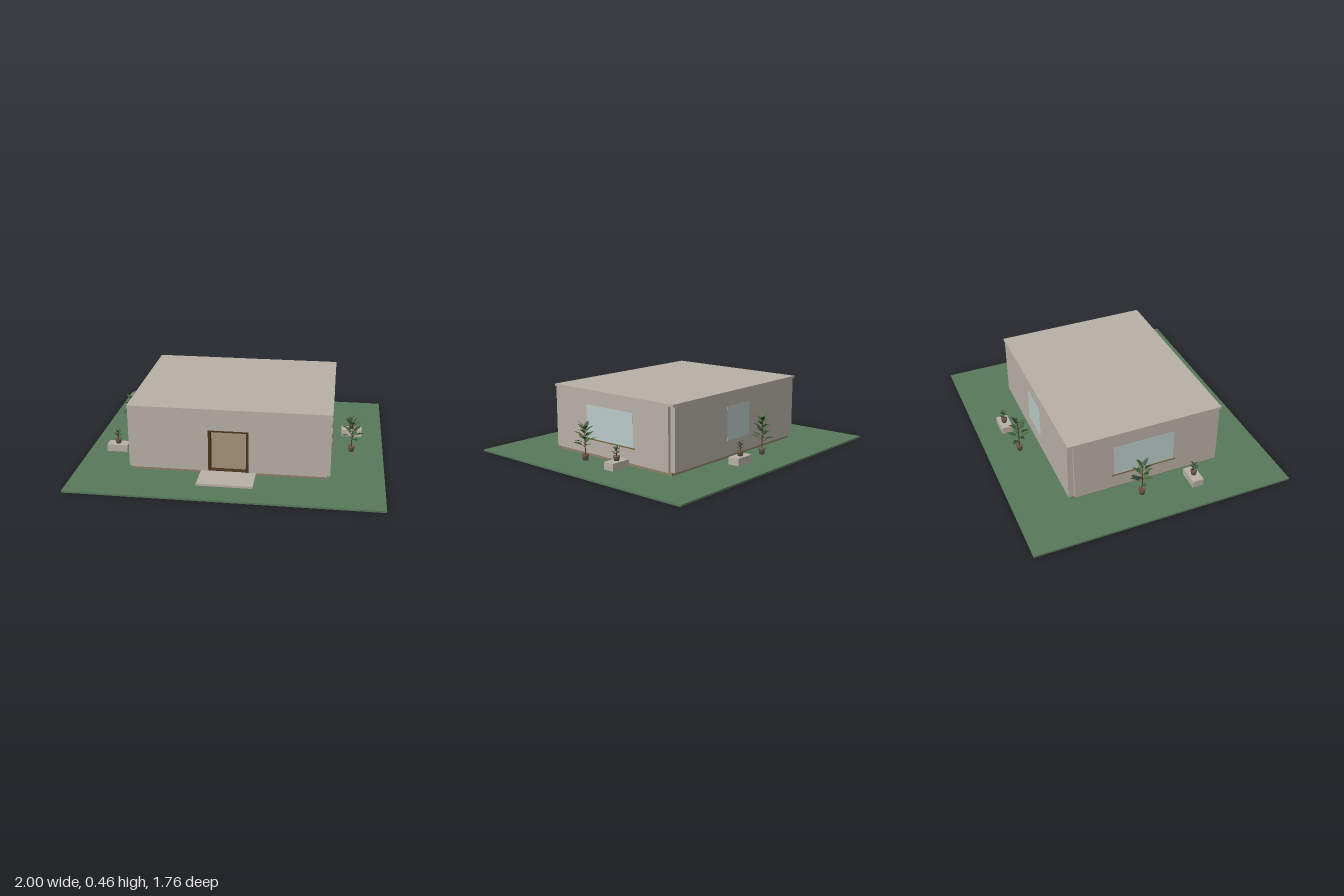
import * as THREE from 'three';

const mat = (name, color, side = THREE.FrontSide) => {
  const m = new THREE.MeshStandardMaterial({ color, side });
  m.name = name;
  return m;
};

export function createModel() {
  const model = new THREE.Group();
  model.name = 'house';
  const M = {
    lawn: mat('lawnGreen', 0x58785a),
    plaster: mat('plaster', 0xb8b0a6),
    floor: mat('floorTan', 0x8f8068),
    glass: mat('paleGlass', 0xb9cbc8),
    wood: mat('darkWood', 0x4a3420),
    sill: mat('sillWood', 0x7a6038),
    pot: mat('clay', 0x6e5c4c),
    stem: mat('stemBrown', 0x5a3c2c),
    leaf: mat('leafGreen', 0x47663c, THREE.DoubleSide),
    darkLeaf: mat('darkLeafGreen', 0x2f4a2e, THREE.DoubleSide),
  };

  const add = (parent, name, geo, material, x = 0, y = 0, z = 0) => {
    const m = new THREE.Mesh(geo, material);
    m.name = name;
    m.position.set(x, y, z);
    parent.add(m);
    return m;
  };
  // Box given by its minimum and maximum corners
  const box = (parent, name, material, x0, x1, y0, y1, z0, z1) =>
    add(parent, name, new THREE.BoxGeometry(x1 - x0, y1 - y0, z1 - z0), material,
      (x0 + x1) / 2, (y0 + y1) / 2, (z0 + z1) / 2);

  // Ground, floor slab, step and flat roof
  box(model, 'lawn', M.lawn, -1, 1, 0, 0.012, -0.88, 0.88);
  box(model, 'floorSlab', M.floor, -0.635, 0.635, 0.012, 0.037, -0.5, 0.505);
  box(model, 'doorstep', M.plaster, -0.18, 0.18, 0.018, 0.033, 0.506, 0.712);
  box(model, 'roof', M.plaster, -0.655, 0.655, 0.445, 0.461, -0.526, 0.526);

  // Walls with one opening each; outer face at distance "out" from the middle
  const wall = (name, turn, x0, x1, thick, out, hole) => {
    const g = new THREE.Group();
    g.name = name;
    g.rotation.y = turn;
    const rect = (path, a, b, c, d) =>
      path.moveTo(a, c).lineTo(b, c).lineTo(b, d).lineTo(a, d).closePath();
    const shape = rect(new THREE.Shape(), x0, x1, 0.036, 0.445);
    shape.holes.push(rect(new THREE.Path(), ...hole));
    add(g, name + 'Panel', new THREE.ExtrudeGeometry(shape, { depth: thick, bevelEnabled: false }),
      M.plaster, 0, 0, out - thick);
    model.add(g);
    return g;
  };
  const windowPane = (g, out, [a, b, c, d]) =>
    box(g, 'windowPane', M.glass, a, b, c, d, out - 0.007, out + 0.001);

  const doorHole = [-0.13, 0.13, 0.0365, 0.318];
  const sideHole = [-0.22, 0.196, 0.137, 0.362];
  const backHole = [-0.12, 0.115, 0.137, 0.362];

  const front = wall('frontWall', 0, -0.635, 0.635, 0.014, 0.526, doorHole);
  const back = wall('backWall', Math.PI, -0.635, 0.635, 0.036, 0.524, backHole);
  windowPane(back, 0.524, backHole);
  for (const s of [1, -1]) {
    const [a, b] = s > 0 ? [-0.513, 0.488] : [-0.488, 0.513];
    const side = wall(s > 0 ? 'leftWall' : 'rightWall', s * Math.PI / 2, a, b, 0.02, 0.654, sideHole);
    windowPane(side, 0.654, sideHole);
    box(side, 'windowSill', M.sill, -0.236, 0.212, 0.132, 0.139, 0.6, 0.659);
  }

  // Open door frame
  for (const s of [1, -1])
    add(front, 'doorJamb', new THREE.BoxGeometry(0.016, 0.28, 0.038), M.wood, s * 0.122, 0.177, 0.511);
  box(front, 'doorLintel', M.wood, -0.13, 0.13, 0.309, 0.318, 0.492, 0.53);
  box(front, 'threshold', M.wood, -0.114, 0.114, 0.037, 0.042, 0.492, 0.526);

  // Counter below the back window
  const counter = new THREE.Group();
  counter.name = 'counter';
  model.add(counter);
  box(counter, 'cabinet', M.plaster, -0.3, 0.3, 0.037, 0.115, -0.487, -0.34);
  box(counter, 'cabinetRail', M.wood, -0.3, 0.3, 0.115, 0.124, -0.487, -0.336);
  box(counter, 'cabinetTop', M.plaster, -0.3, 0.3, 0.124, 0.132, -0.487, -0.34);
  box(counter, 'worktop', M.wood, -0.31, 0.31, 0.132, 0.144, -0.487, -0.33);
  for (const x of [-0.04, 0.036])
    box(counter, 'handle', M.wood, x - 0.002, x + 0.002, 0.07, 0.107, -0.34, -0.336);
  for (const x of [-0.065, 0.058])
    box(counter, 'windowBar', M.wood, x - 0.002, x + 0.002, 0.144, 0.362, -0.49, -0.486);

  // Unit leaf along +z, pointed at both ends, folded and drooping
  const leafGeo = new THREE.PlaneGeometry(1, 1, 2, 5).rotateX(-Math.PI / 2).translate(0, 0, 0.5);
  const p = leafGeo.attributes.position;
  for (let i = 0; i < p.count; i++) {
    const t = p.getZ(i);
    const w = Math.sin(Math.PI * Math.pow(t, 0.8)) * 0.52 + 0.02;
    const x = p.getX(i) * w;
    p.setXYZ(i, x, Math.abs(x) * 0.25 - 0.25 * t * t, t);
  }
  leafGeo.computeVertexNormals();

  const addLeaf = (g, material, y, turn, pitch, length, offset) => {
    const arm = new THREE.Group();
    arm.name = 'leafArm';
    arm.position.y = y;
    arm.rotation.set(-pitch, turn, 0, 'YXZ');
    add(arm, 'leaf', leafGeo, material, 0, 0, offset).scale.setScalar(length);
    const stalk = add(arm, 'leafStalk', new THREE.CylinderGeometry(0.001, 0.0015, offset, 5),
      M.stem, 0, 0, offset / 2);
    stalk.rotation.x = Math.PI / 2;
    g.add(arm);
  };
  const addPot = (g, r, h) => {
    const profile = [[0, 0], [r * 0.75, 0], [r, h * 0.8], [r * 1.05, h], [r * 0.85, h], [r * 0.8, h * 0.85], [0, h * 0.85]];
    add(g, 'pot', new THREE.LatheGeometry(profile.map(([x, y]) => new THREE.Vector2(x, y)), 16), M.pot);
  };
  const plantGroup = (name, x, y, z) => {
    const g = new THREE.Group();
    g.name = name;
    g.position.set(x, y, z);
    model.add(g);
    return g;
  };

  // Tall plants: leaves spiral up a thin trunk
  const tallPlant = (x, z, height, turn) => {
    const g = plantGroup('tallPlant', x, 0.036, z);
    g.rotation.y = turn;
    addPot(g, 0.022, 0.04);
    const top = height - 0.045;
    add(g, 'trunk', new THREE.CylinderGeometry(0.002, 0.004, top - 0.03, 6), M.stem, 0, (top + 0.03) / 2, 0);
    const n = 17;
    for (let i = 0; i < n; i++) {
      const t = i / (n - 1);
      addLeaf(g, i % 3 ? M.leaf : M.darkLeaf, 0.085 + t * (top - 0.085), i * 2.4,
        0.45 + t * 0.6, 0.062 - t * 0.008, 0.025 - t * 0.012);
    }
  };
  tallPlant(0.785, 0.1, 0.25, 0.4);
  tallPlant(-0.78, -0.08, 0.275, 2.1);
  tallPlant(-0.07, -0.665, 0.265, 4.0);

  // Small bushy plants
  const smallPlant = (x, y, z, turn) => {
    const g = plantGroup('smallPlant', x, y, z);
    g.rotation.y = turn;
    addPot(g, 0.021, 0.03);
    add(g, 'stem', new THREE.CylinderGeometry(0.0015, 0.0025, 0.055, 6), M.stem, 0, 0.05, 0);
    for (let i = 0; i < 12; i++)
      addLeaf(g, M.darkLeaf, 0.035 + i * 0.0036, i * 2.4, 0.5 + i * 0.05, 0.026, 0.007);
  };
  // Stone blocks that carry the small plants
  [[0.785, -0.18], [-0.79, 0.28], [0.2, -0.688]].forEach(([x, z], i) => {
    box(model, 'stoneBlock', M.plaster, x - 0.07, x + 0.07, 0.037, 0.085, z - 0.038, z + 0.038);
    smallPlant(x, 0.085, z, i * 1.3);
  });
  smallPlant(0.066, 0.144, -0.41, 0.7);

  return model;
}
